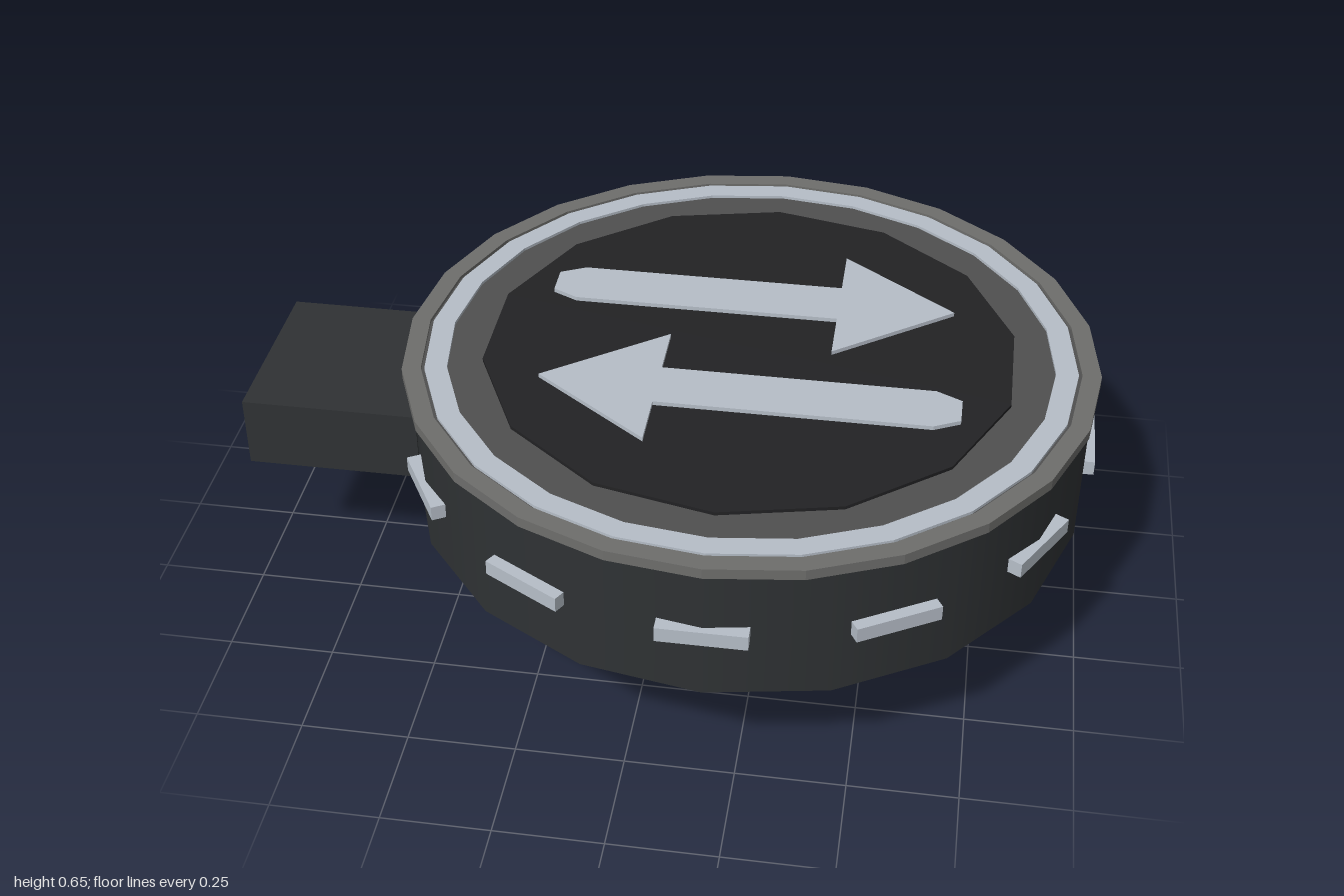
import * as THREE from 'three';

const paint = (color, flat = false) => new THREE.MeshStandardMaterial({ color, flatShading: flat });
const CX = 0.18; // drum axis

export function createModel() {
  const model = new THREE.Group();
  const shell = paint(0x2f3234), dark = paint(0x222224), cone = paint(0x1b1b1b, true);
  const rimGrey = paint(0x6e6e6c), faceGrey = paint(0x505050), silver = paint(0xb6bec8);

  const add = (name, geometry, material, x = CX, y = 0, z = 0) => {
    const mesh = new THREE.Mesh(geometry, material);
    mesh.name = name;
    mesh.position.set(x, y, z);
    model.add(mesh);
    return mesh;
  };
  // Cylinder between two heights
  const disc = (name, rTop, rBottom, y0, y1, sides, material) =>
    add(name, new THREE.CylinderGeometry(rTop, rBottom, y1 - y0, sides), material, CX, (y0 + y1) / 2);
  // Flat shape in x/z (y of the shape = -z), raised between two heights
  const slab = (name, shape, y0, y1, material, x) => {
    const g = new THREE.ExtrudeGeometry(shape, { depth: y1 - y0, bevelEnabled: false });
    g.rotateX(-Math.PI / 2);
    return add(name, g, material, x, y0);
  };
  const polygon = (radius, sides) => Array.from({ length: sides }, (_, i) => {
    const a = (i / sides) * Math.PI * 2;
    return new THREE.Vector2(radius * Math.cos(a), radius * Math.sin(a));
  });
  const ring = (name, outer, inner, y0, y1, material) => {
    const shape = new THREE.Shape(polygon(outer, 24));
    shape.holes.push(new THREE.Path(polygon(inner, 24)));
    slab(name, shape, y0, y1, material, CX);
  };

  // Drum and tapered underside
  disc('drum', 0.8, 0.8, 0.285, 0.62, 18, shell);
  disc('underside', 0.72, 0.08, 0, 0.287, 16, cone);

  // Layered top face
  ring('rim', 0.812, 0.768, 0.615, 0.64, rimGrey);
  disc('topFace', 0.775, 0.775, 0.61, 0.632, 24, faceGrey);
  ring('silverBand', 0.76, 0.708, 0.628, 0.639, silver);
  disc('centrePlate', 0.625, 0.625, 0.62, 0.64, 14, dark);

  // Two opposing arrows with chamfered tails; dir is the pointing direction
  const arrow = (name, dir, tip, z) => {
    const half = [[0, 0], [-0.275, 0.207], [-0.275, 0.068], [-0.905, 0.068], [-0.965, 0.038]];
    const outline = [...half, ...half.slice(1).reverse().map(([u, v]) => [u, -v])];
    const shape = new THREE.Shape(outline.map(([u, v]) => new THREE.Vector2(tip + dir * u, v - z)));
    slab(name, shape, 0.635, 0.65, silver, 0);
  };
  arrow('arrowBack', 1, 0.645, -0.203);
  arrow('arrowFront', -1, -0.285, 0.195);

  // Marker lights around the drum
  for (let i = 0; i < 12; i++) {
    const a = (i / 12) * Math.PI * 2;
    const light = add('markerLight', new THREE.BoxGeometry(0.2, 0.036, 0.04), silver,
      CX + Math.sin(a) * 0.796, 0.452, Math.cos(a) * 0.796);
    light.rotation.y = a;
  }

  // Side arm
  add('arm', new THREE.BoxGeometry(0.42, 0.175, 0.44), shell, -0.79, 0.4225, 0);
  return model;
}
